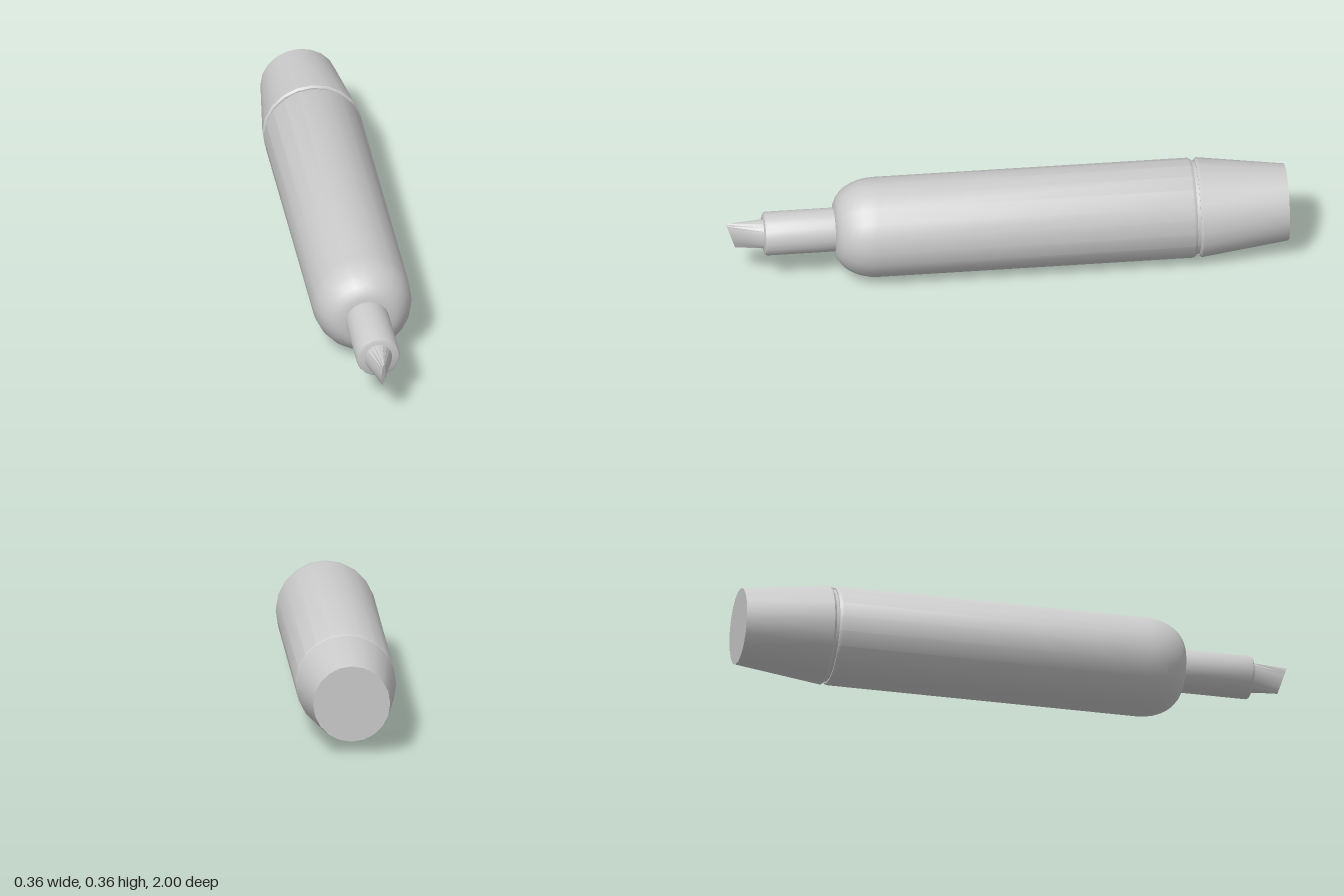
import * as THREE from 'three';
import { toCreasedNormals } from 'three/addons/utils/BufferGeometryUtils.js';

const SIDES = 20;
const AXIS_Y = 0.179;
const material = new THREE.MeshStandardMaterial({ color: 0xcccccc });

function addPart(group, name, geometry) {
  const mesh = new THREE.Mesh(toCreasedNormals(geometry, 0.6), material);
  mesh.name = name;
  mesh.position.y = AXIS_Y;
  group.add(mesh);
}

// Turned part along z, from [radius, z] pairs listed back to front
function turned(profile) {
  const points = profile.map(([r, z]) => new THREE.Vector2(r, z));
  return new THREE.LatheGeometry(points, SIDES).rotateX(Math.PI / 2);
}

export function createModel() {
  const group = new THREE.Group();
  group.name = 'markerPen';

  // Tapered plug closing the back end
  addPart(group, 'endPlug', turned([
    [0, -1], [0.137, -1], [0.178, -0.688], [0.172, -0.68], [0.165, -0.68],
  ]));

  // Recessed ring between plug and barrel
  addPart(group, 'groove', turned([[0.166, -0.685], [0.166, -0.66]]));

  // Barrel with a rounded shoulder
  const barrel = [[0.165, -0.668], [0.172, -0.668], [0.178, -0.658]];
  for (let i = 0; i <= 8; i++) {
    const a = (i / 8) * Math.PI / 2;
    barrel.push([0.074 + 0.104 * Math.cos(a), 0.465 + 0.15 * Math.sin(a)]);
  }
  addPart(group, 'barrel', turned(barrel));

  // Nib holder with a small bevel at its mouth
  addPart(group, 'nibHolder', turned([
    [0.078, 0.6], [0.078, 0.855], [0.075, 0.863], [0.067, 0.867], [0, 0.867],
  ]));

  // Chisel nib: a cylinder pinched to a slanted edge
  const nib = new THREE.CylinderGeometry(0.055, 0.055, 0.15, SIDES, 1).rotateX(Math.PI / 2);
  const p = nib.attributes.position;
  for (let i = 0; i < p.count; i++) {
    const y = p.getY(i);
    if (p.getZ(i) > 0) p.setXYZ(i, p.getX(i) * 0.12, y * 0.95, 0.983 + y * 0.31);
    else p.setZ(i, 0.85);
  }
  addPart(group, 'chiselNib', nib);

  return group;
}
